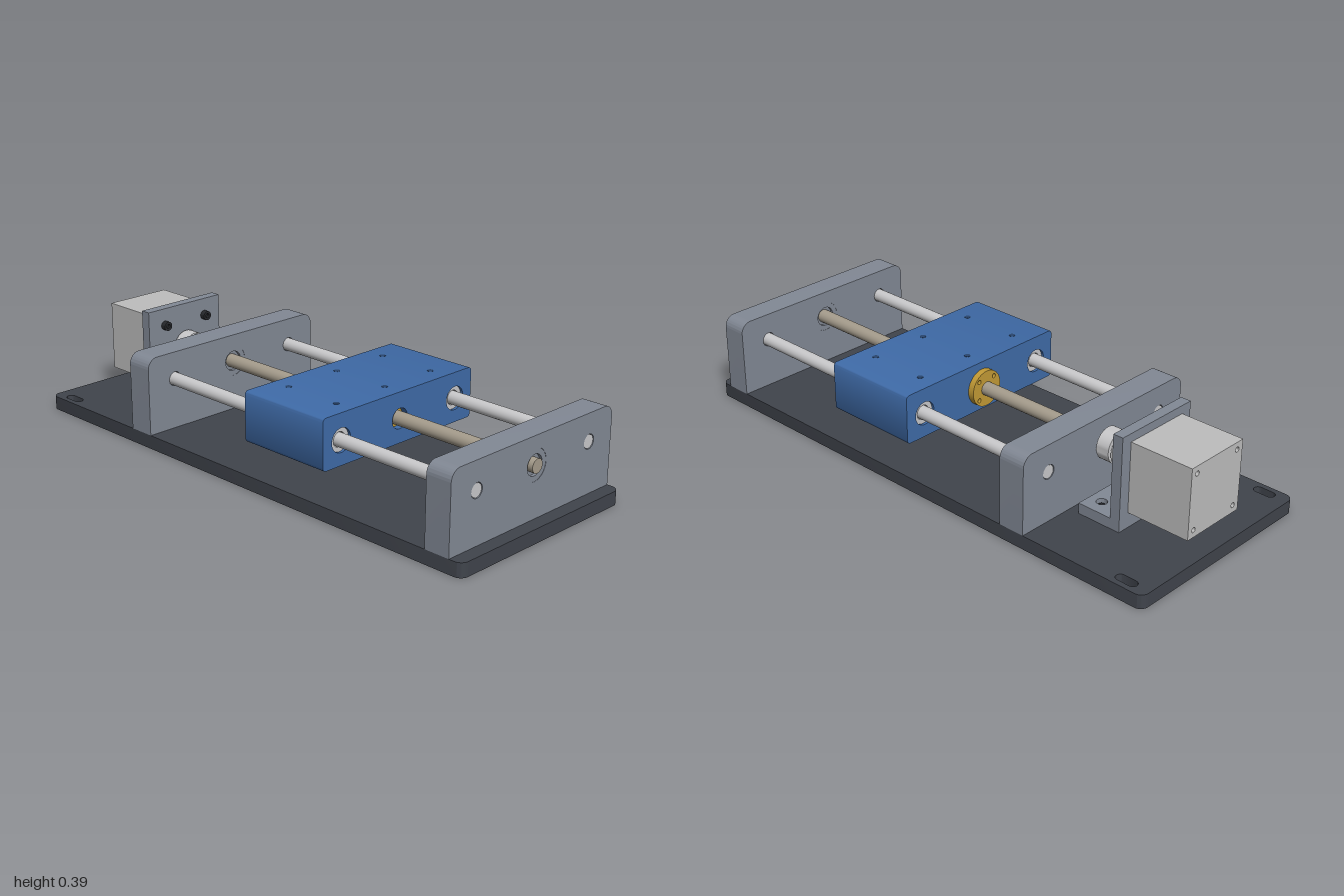
import * as THREE from 'three';
import { toCreasedNormals } from 'three/addons/utils/BufferGeometryUtils.js';

const mat = (name, color) => new THREE.MeshStandardMaterial({ name, color });

// Rectangle with its own bottom and top corner radii
function rect(x0, y0, x1, y1, rb = 0, rt = rb) {
  const s = new THREE.Shape();
  const corner = (x, y, r, a) => {
    if (r) s.absarc(x, y, r, a, a + Math.PI / 2, false);
    else if (s.curves.length || s.currentPoint.lengthSq()) s.lineTo(x, y);
    else s.moveTo(x, y);
  };
  corner(x0 + rb, y0 + rb, rb, Math.PI);
  corner(x1 - rb, y0 + rb, rb, Math.PI * 1.5);
  corner(x1 - rt, y1 - rt, rt, 0);
  corner(x0 + rt, y1 - rt, rt, Math.PI / 2);
  s.closePath();
  return s;
}

function hole(shape, x, y, r) {
  shape.holes.push(new THREE.Path().absarc(x, y, r, 0, Math.PI * 2, true));
}

// Rounded slot lying along the shape's x direction
function slot(shape, x, y, half, r) {
  const p = new THREE.Path();
  p.absarc(x + half - r, y, r, Math.PI / 2, -Math.PI / 2, true);
  p.absarc(x - half + r, y, r, -Math.PI / 2, -Math.PI * 1.5, true);
  p.closePath();
  shape.holes.push(p);
}

function extrude(shape, depth) {
  const g = new THREE.ExtrudeGeometry(shape, { depth, bevelEnabled: false, curveSegments: 20 });
  return toCreasedNormals(g, 0.5);
}
// Shape drawn in (-z, y), extruded from x0 to x1
const alongX = (shape, x0, x1) => extrude(shape, x1 - x0).rotateY(Math.PI / 2).translate(x0, 0, 0);
// Shape drawn in (x, -z), extruded from y0 to y1
const alongY = (shape, y0, y1) => extrude(shape, y1 - y0).rotateX(-Math.PI / 2).translate(0, y0, 0);

// Solid round bar from x0 to x1
const bar = (x0, x1, r, y, z) => new THREE.CylinderGeometry(r, r, x1 - x0, 32)
  .rotateZ(-Math.PI / 2).translate((x0 + x1) / 2, y, z);

// Ring with bore, from x0 to x1
function ring(x0, x1, rOut, rIn, y, z) {
  const s = new THREE.Shape().absarc(-z, y, rOut, 0, Math.PI * 2, false);
  hole(s, -z, y, rIn);
  return alongX(s, x0, x1);
}

export function createModel() {
  const group = new THREE.Group();
  const charcoal = mat('charcoal base', 0x40444c);
  const grey = mat('grey aluminium', 0x828995);
  const blue = mat('blue anodised', 0x3f6ba8);
  const silver = mat('silver motor', 0xbebebe);
  const steel = mat('polished steel', 0xc9c9cb);
  const tan = mat('screw steel', 0xa59c8c);
  const brass = mat('brass', 0xc29a35);
  const black = mat('black screws', 0x26282c);
  const navy = mat('hole shade', 0x28456e);
  const add = (name, geometry, material) => {
    const m = new THREE.Mesh(geometry, material);
    m.name = name;
    group.add(m);
    return m;
  };
  const Y = 0.232;         // height of the drive axis
  const ROD_Z = 0.273;
  const sides = [-1, 1];

  // Base plate with corner slots and bracket bolt holes
  const base = rect(-1, -0.39, 1, 0.39, 0.03);
  for (const s of sides) {
    for (const e of sides) slot(base, e * 0.91, s * 0.353, 0.04, 0.017);
    hole(base, -0.605, s * 0.11, 0.014);
  }
  add('basePlate', alongY(base, 0, 0.05), charcoal);

  // End supports with screw bearings
  for (const [name, x0, x1] of [['motorSupport', -0.52, -0.42], ['farSupport', 0.855, 0.95]]) {
    const s = rect(-0.39, 0.05, 0.39, 0.33, 0, 0.04);
    hole(s, 0, Y, 0.055);
    for (const k of sides) hole(s, k * ROD_Z, Y, 0.0255);
    add(name, alongX(s, x0, x1), grey);
    add(name + 'BearingOuter', ring(x0 + 0.001, x1 - 0.001, 0.055, 0.036, Y, 0), grey);
    add(name + 'BearingInner', ring(x0 + 0.012, x1 - 0.012, 0.037, 0.024, Y, 0), grey);
  }

  // Guide rods and lead screw
  for (const s of sides) add('guideRod', bar(-0.518, 0.948, 0.0235, Y, s * ROD_Z), steel);
  add('leadScrew', bar(-0.54, 0.96, 0.0245, Y, 0), tan);

  // Carriage with bored passages and linear bearings
  const body = rect(-0.355, 0.145, 0.355, 0.325, 0.014);
  hole(body, 0, Y, 0.036);
  for (const s of sides) hole(body, s * ROD_Z, Y, 0.042);
  add('carriage', alongX(body, 0.035, 0.395), blue);
  for (const s of sides) {
    add('linearBearing', ring(0.045, 0.385, 0.042, 0.026, Y, s * ROD_Z), steel);
  }
  for (const x of [0.105, 0.325]) {
    for (const z of [-0.225, 0, 0.225]) {
      add('mountingHole', new THREE.CylinderGeometry(0.011, 0.011, 0.004, 20)
        .translate(x, 0.324, z), navy);
    }
  }

  // Flanged nut
  const flange = new THREE.Shape().absarc(0, Y, 0.066, 0, Math.PI * 2, false);
  hole(flange, 0, Y, 0.025);
  for (let i = 0; i < 4; i++) {
    const a = Math.PI / 4 + i * Math.PI / 2;
    hole(flange, 0.05 * Math.cos(a), Y + 0.05 * Math.sin(a), 0.008);
  }
  add('nutFlange', alongX(flange, 0.012, 0.035), brass);
  add('nutBarrel', ring(0.035, 0.37, 0.036, 0.025, Y, 0), brass);

  // Motor with fixing holes in its back face
  const motor = rect(-0.127, 0.106, 0.127, 0.36);
  for (const s of sides) for (const t of sides) hole(motor, s * 0.1, 0.233 + t * 0.1, 0.009);
  add('motor', alongX(motor, -0.96, -0.725), silver);
  add('motorShaft', bar(-0.73, -0.66, 0.02, Y, 0), steel);

  // Angle bracket and its screws
  add('bracketPlate', alongX(rect(-0.168, 0.05, 0.168, 0.39), -0.725, -0.687), grey);
  const foot = rect(-0.687, -0.168, -0.557, 0.168);
  for (const s of sides) hole(foot, -0.605, s * 0.11, 0.019);
  add('bracketFoot', alongY(foot, 0.05, 0.088), grey);
  for (const s of sides) {
    add('footScrew', new THREE.CylinderGeometry(0.014, 0.014, 0.06, 20)
      .translate(-0.605, 0.045, s * 0.11), black);
    for (const t of sides) {
      add('motorScrew', ring(-0.687, -0.667, 0.017, 0.008, 0.233 + t * 0.094, s * 0.094), black);
      add('motorScrewSocket', bar(-0.687, -0.677, 0.009, 0.233 + t * 0.094, s * 0.094), black);
    }
  }

  // Grooved flexible coupling
  const profile = [[0.02, -0.68], [0.057, -0.68]];
  for (const x of [-0.625, -0.605, -0.585]) {
    profile.push([0.057, x - 0.005], [0.042, x - 0.005], [0.042, x + 0.005], [0.057, x + 0.005]);
  }
  profile.push([0.057, -0.53], [0.02, -0.53]);
  const coupling = new THREE.LatheGeometry(profile.map(([r, x]) => new THREE.Vector2(r, x)), 36);
  add('coupling', toCreasedNormals(coupling, 0.5).rotateZ(-Math.PI / 2).translate(0, Y, 0), steel);

  return group;
}
